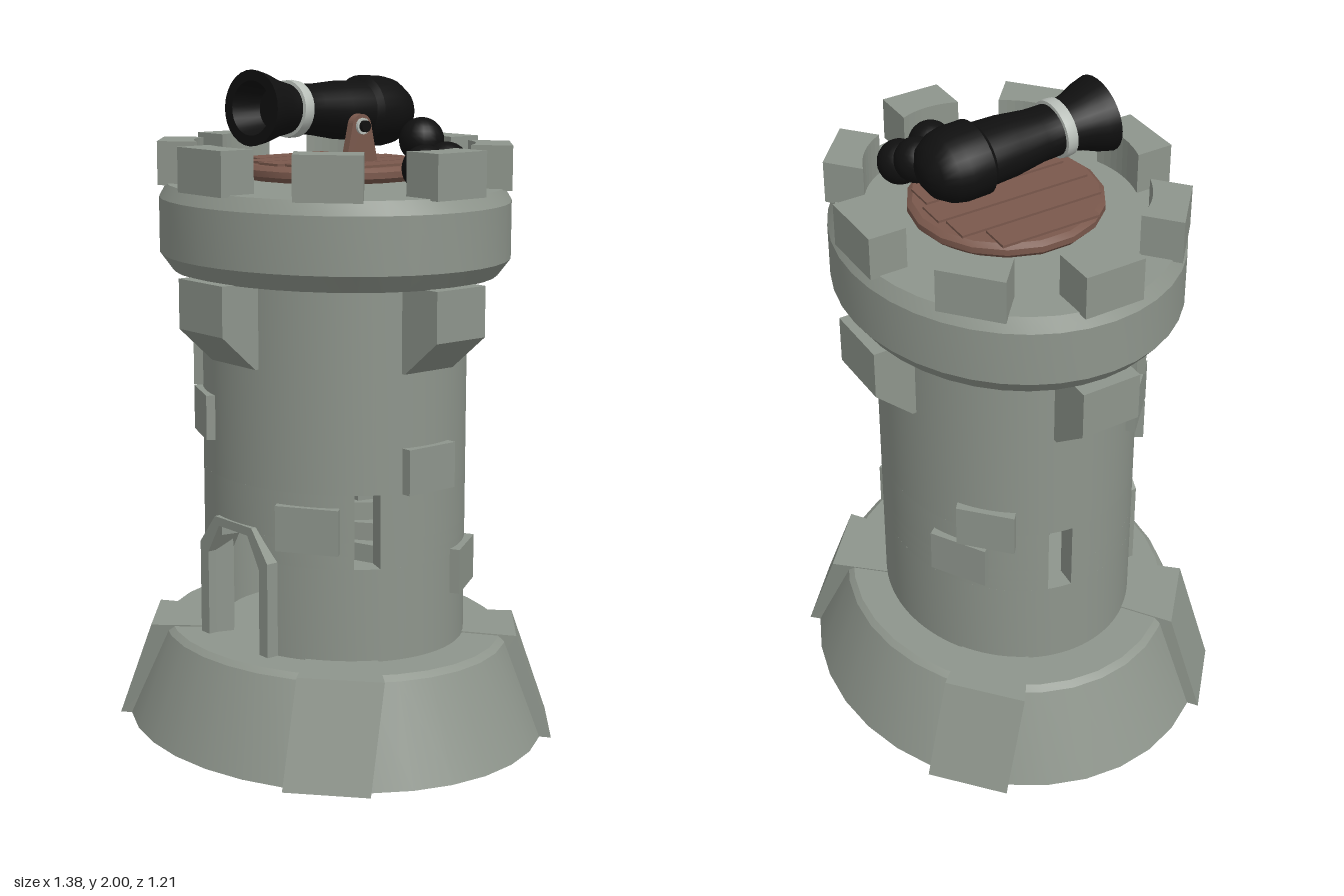
import * as THREE from 'three';
import { toCreasedNormals } from 'three/addons/utils/BufferGeometryUtils.js';

const mat = (name, color, side = THREE.FrontSide) => {
  const m = new THREE.MeshStandardMaterial({ color, side });
  m.name = name;
  return m;
};
const rad = THREE.MathUtils.degToRad;

export function createModel() {
  const stone = mat('grey stone', 0x8e958c);
  const wood = mat('brown wood', 0x7a584c);
  const iron = mat('black iron', 0x101010);
  const silver = mat('pale metal', 0xb8beb8);

  const model = new THREE.Group();
  model.name = 'cannonTower';
  // The masonry is oval: round parts squeezed front to back
  const tower = new THREE.Group();
  tower.name = 'tower';
  tower.scale.z = 0.875;
  model.add(tower);

  const add = (parent, name, geo, material, x = 0, y = 0, z = 0) => {
    const m = new THREE.Mesh(geo, material);
    m.name = name;
    m.position.set(x, y, z);
    parent.add(m);
    return m;
  };
  const lathe = (pts, segs) =>
    toCreasedNormals(new THREE.LatheGeometry(pts.map(p => new THREE.Vector2(...p)), segs), 0.5);
  // Places a part around the tower; its local +z points outward
  const around = (name, geo, deg, y = 0) => {
    const m = add(tower, name, geo, stone, 0, y, 0);
    m.rotation.y = rad(deg);
    return m;
  };
  const poly = pts => new THREE.Shape(pts.map(p => new THREE.Vector2(...p)));
  const extrude = (shape, depth, curveSegments = 8) =>
    new THREE.ExtrudeGeometry(shape, { depth, bevelEnabled: false, curveSegments });

  // Flared base
  add(tower, 'base', lathe([[0, 0], [0.69, 0], [0.57, 0.285], [0.55, 0.3], [0, 0.3]], 32), stone);

  // Leaning buttresses on the diagonals
  for (let i = 0; i < 4; i++) {
    const g = new THREE.BoxGeometry(1, 1, 1).toNonIndexed();
    const p = g.attributes.position;
    for (let k = 0; k < p.count; k++) {
      const top = p.getY(k) > 0, outer = p.getZ(k) > 0;
      const x = Math.sign(p.getX(k)) * (outer ? 0.135 : 0.11) + (top ? 0.04 : 0);
      p.setXYZ(k, x, top ? 0.304 : 0, outer ? (top ? 0.6 : 0.715) : 0.38);
    }
    g.computeVertexNormals();
    around('buttress', g, 45 + i * 90);
  }

  // Hollow wall in bands, leaving gaps for the door and the slit windows
  const arcBlock = (a0, a1, r0, r1, h) => {
    const s = new THREE.Shape();
    s.absarc(0, 0, r1, rad(a0 - 90), rad(a1 - 90), false);
    s.absarc(0, 0, r0, rad(a1 - 90), rad(a0 - 90), true);
    const g = extrude(s, h, Math.max(2, Math.ceil((a1 - a0) / 7.5)));
    g.rotateX(-Math.PI / 2);
    return toCreasedNormals(g, 0.5);
  };
  const slits = [[61, 5.6], [260, 5.6]];
  const bands = [
    [0.3, 0.58, [[0, 17]]],
    [0.58, 0.62, [[0, 17], ...slits]],
    [0.62, 0.66, [[0, 10], ...slits]],
    [0.66, 0.8, slits],
    [0.8, 1.41, [[0, 0]]],
  ];
  for (const [y0, y1, gaps] of bands) {
    gaps.forEach(([c, half], i) => {
      const next = gaps[i + 1] || [gaps[0][0] + 360, gaps[0][1]];
      add(tower, 'wall', arcBlock(c + half, next[0] - next[1], 0.365, 0.43, y1 - y0), stone, 0, y0);
    });
  }

  // Door frame
  const frame = poly([[-0.165, 0.3], [-0.165, 0.585], [-0.09, 0.678], [0.09, 0.678], [0.165, 0.585],
    [0.165, 0.3], [0.125, 0.3], [0.125, 0.56], [0.07, 0.652], [-0.07, 0.652], [-0.125, 0.56], [-0.125, 0.3]]);
  add(model, 'doorFrame', extrude(frame, 0.095), stone, 0, 0, 0.29);

  // Spiral stair inside
  add(tower, 'stairPillar', new THREE.CylinderGeometry(0.065, 0.065, 1.11, 20), stone, 0, 0.855, 0);
  for (let i = 0; i < 19; i++) {
    const g = new THREE.BoxGeometry(0.13, 0.055, 0.31);
    g.translate(0, 0, 0.21);
    around('stairStep', g, 30 + i * 20, 0.33 + i * 0.055);
  }

  // Raised stones: angle, height, width
  const bricks = [[-35, 1.247, 0.16], [-48, 1.112, 0.19], [-27, 0.972, 0.18], [36, 0.695, 0.2],
    [90, 0.865, 0.2], [120, 0.53, 0.2], [-133, 0.82, 0.19], [-145, 0.68, 0.19]];
  for (const [deg, y, w] of bricks) {
    const g = new THREE.BoxGeometry(w, 0.135, 0.07);
    g.translate(0, 0, 0.415);
    around('raisedStone', g, deg, y);
  }

  // Brackets under the parapet
  const corbel = extrude(poly([[0.38, 1.15], [0.43, 1.15], [0.562, 1.255], [0.562, 1.402], [0.38, 1.402]]), 0.21);
  corbel.rotateY(-Math.PI / 2);
  corbel.translate(0.105, 0, 0);
  for (let i = 0; i < 4; i++) around('corbel', corbel, i * 90);

  // Parapet ring and floor
  add(tower, 'parapet', lathe([[0, 1.4], [0.525, 1.4], [0.565, 1.45], [0.565, 1.615], [0.54, 1.655], [0, 1.655]], 40), stone);

  // Battlements with a hollowed inner face
  const ms = new THREE.Shape();
  ms.moveTo(-0.105, -0.56);
  ms.lineTo(0.105, -0.56);
  ms.lineTo(0.105, -0.43);
  ms.quadraticCurveTo(0, -0.47, -0.105, -0.43);
  ms.closePath();
  const merlon = extrude(ms, 0.13);
  merlon.rotateX(-Math.PI / 2);
  for (let i = 0; i < 8; i++) around('merlon', merlon, i * 45, 1.65);

  // Turntable with plank seams
  add(model, 'turntablePivot', new THREE.CylinderGeometry(0.1, 0.1, 0.04, 16), wood, 0, 1.67, 0);
  add(model, 'turntable', lathe([[0, 1.676], [0.27, 1.676], [0.283, 1.69], [0.283, 1.708], [0.268, 1.72], [0, 1.72]], 18), wood);
  for (let i = -2; i <= 2; i++) {
    const x = i * 0.1;
    const len = 2 * Math.sqrt(0.26 * 0.26 - x * x);
    add(model, 'plank', new THREE.BoxGeometry(0.09, 0.008, len * 0.94), wood, x, 1.723, 0);
  }

  // Cannon, turned along its length and slightly raised at the muzzle
  const cannon = new THREE.Group();
  cannon.name = 'cannon';
  cannon.position.set(0, 1.871, 0);
  cannon.rotation.x = rad(-3);
  cannon.scale.y = 0.87;
  model.add(cannon);
  const turned = (name, pts, material) => {
    const g = lathe(pts, 28);
    g.rotateX(Math.PI / 2);
    return add(cannon, name, g, material);
  };
  turned('barrel', [[0, -0.275], [0.045, -0.268], [0.085, -0.245], [0.112, -0.205], [0.12, -0.17], [0.12, -0.1],
    [0.102, -0.085], [0.098, 0], [0.085, 0.09], [0.083, 0.18], [0.095, 0.225], [0.115, 0.27], [0.125, 0.305],
    [0.09, 0.305], [0.07, 0.22], [0, 0.22]], iron);
  turned('barrelBand', [[0.08, 0.145], [0.094, 0.147], [0.096, 0.163], [0.094, 0.179], [0.08, 0.181]], silver);

  // Side bracket with its pin
  const bs = new THREE.Shape();
  bs.moveTo(-0.062, 1.715);
  bs.lineTo(0.062, 1.715);
  bs.lineTo(0.034, 1.84);
  bs.absarc(0, 1.83, 0.035, 0.28, Math.PI - 0.28, false);
  bs.closePath();
  const bracket = extrude(bs, 0.024);
  bracket.rotateY(Math.PI / 2);
  add(model, 'bracket', bracket, wood, 0.107, 0, 0);
  const rod = (name, r, len, x, material) => {
    const g = new THREE.CylinderGeometry(r, r, len, 12);
    g.rotateZ(Math.PI / 2);
    add(model, name, g, material, x, 1.83, 0);
  };
  rod('pinWasher', 0.024, 0.01, 0.134, silver);
  rod('pin', 0.017, 0.09, 0.107, iron);

  // Cannonballs
  const ball = new THREE.SphereGeometry(0.067, 20, 14);
  for (const [x, y, z] of [[0.19, 1.785, -0.18], [0.305, 1.72, -0.175], [0.355, 1.72, -0.045]])
    add(model, 'cannonball', ball, iron, x, y, z);

  return model;
}
